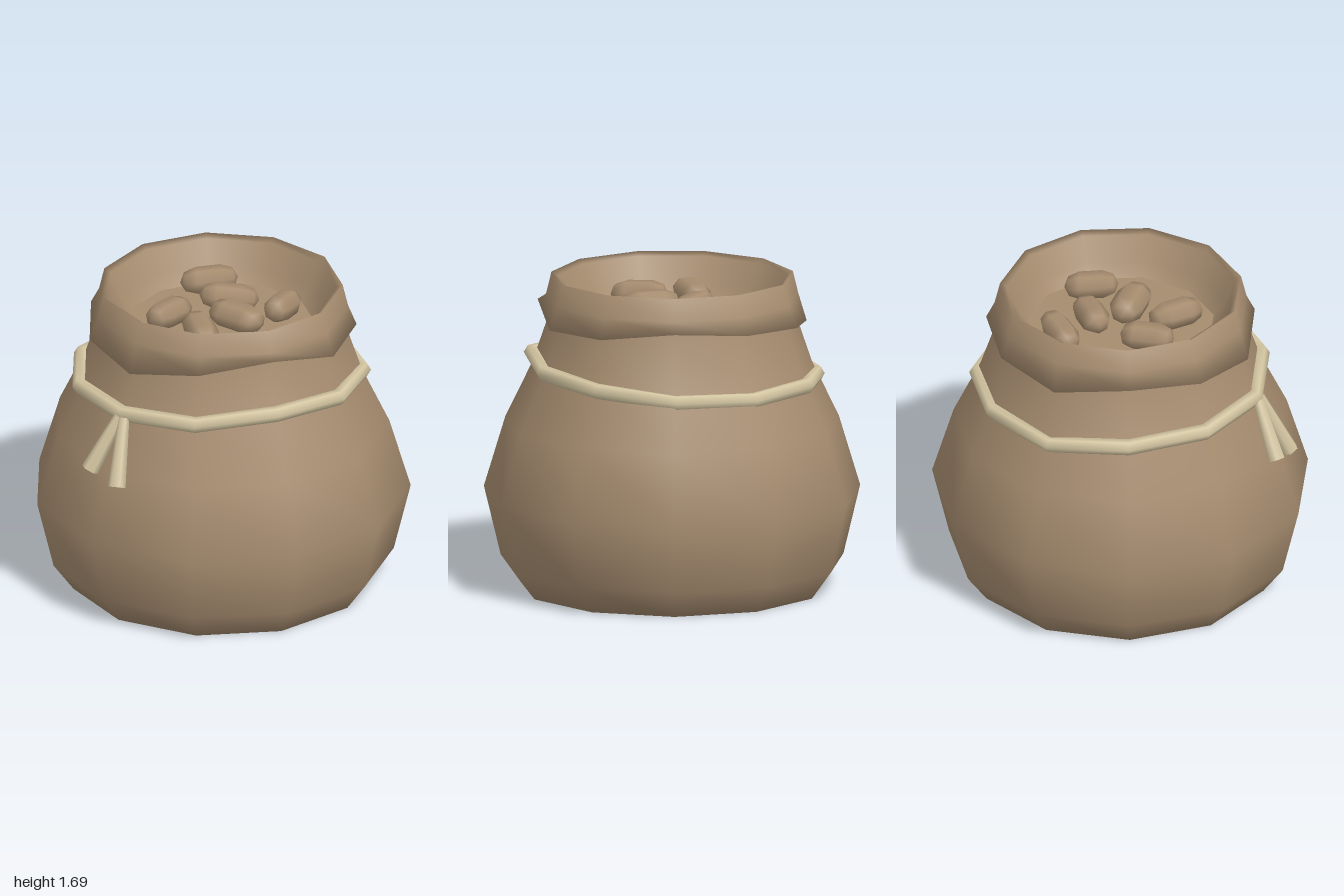
import * as THREE from 'three';

const SIDES = 11;
const CENTER_Z = -0.02;

// Height of the folded hem and of the rope at each of the eleven corners, from the front round to +x
const HEM = [1.41, 1.48, 1.54, 1.45, 1.46, 1.51, 1.48, 1.46, 1.42, 1.485, 1.45];
const ROPE = [1.19, 1.21, 1.25, 1.22, 1.19, 1.15, 1.14, 1.15, 1.13, 1.17, 1.18];

const sack = new THREE.MeshStandardMaterial({ color: 0xa68c6f });
sack.name = 'sackcloth';
const cord = new THREE.MeshStandardMaterial({ color: 0xd4c6a2 });
cord.name = 'cord';

function lathe(profile) {
  return new THREE.LatheGeometry(profile.map(([r, y]) => new THREE.Vector2(r, y)), SIDES);
}

export function createModel() {
  const group = new THREE.Group();
  group.name = 'sackOfBeans';

  function add(name, geometry, material, x = 0, y = 0, z = CENTER_Z) {
    const mesh = new THREE.Mesh(geometry, material);
    mesh.name = name;
    mesh.position.set(x, y, z);
    group.add(mesh);
    return mesh;
  }

  // Bulging body with its neck
  add('body', lathe([
    [0, 0], [0.81, 0], [0.92, 0.15], [1.01, 0.52], [0.895, 0.9],
    [0.75, 1.2], [0.665, 1.45], [0.64, 1.58],
  ]), sack);

  // Rolled-down collar: underside, hem, outer face, rim and inner wall
  const collarProfile = [
    [0.645, 0.05], [0.722, 0], [0.677, 1.57], [0.648, 1.69],
    [0.615, 1.67], [0.56, 1.54], [0.5, 1.47],
  ];
  const collar = lathe(collarProfile.map(([r, y], j) => [r, j < 2 ? y + 1.46 : y]));
  const pos = collar.attributes.position;
  for (let i = 0; i <= SIDES; i++) {
    for (let j = 0; j < 2; j++) {
      pos.setY(i * collarProfile.length + j, HEM[i % SIDES] + collarProfile[j][1]);
    }
  }
  add('collar', collar, sack);

  // Level of the contents
  const fill = new THREE.CircleGeometry(0.505, SIDES);
  fill.rotateZ(-Math.PI / 2);
  fill.rotateX(-Math.PI / 2);
  add('fillSurface', fill, sack, 0, 1.47);

  // Rope ring, raised and lowered corner by corner
  const rope = new THREE.TorusGeometry(0.765, 0.043, 6, SIDES);
  rope.rotateX(Math.PI / 2);
  rope.rotateY(Math.PI / 2 + Math.PI);
  const ropePos = rope.attributes.position;
  for (let i = 0; i < ropePos.count; i++) {
    const angle = Math.atan2(ropePos.getX(i), ropePos.getZ(i));
    const corner = (Math.round(angle / (Math.PI * 2) * SIDES) + SIDES) % SIDES;
    ropePos.setY(i, ropePos.getY(i) + ROPE[corner]);
  }
  add('rope', rope, cord, -0.012);

  // Two loose rope ends hanging at the front
  const up = new THREE.Vector3(0, 1, 0);
  for (const [name, x0, x1, y1] of [
    ['ropeEndRight', -0.015, -0.1, 0.89],
    ['ropeEndLeft', 0.015, 0.09, 0.845],
  ]) {
    const top = new THREE.Vector3(x0, 1.18, 0.765);
    const tip = new THREE.Vector3(x1, y1, 0.905);
    const dir = top.clone().sub(tip);
    const end = add(name, new THREE.CylinderGeometry(0.03, 0.048, dir.length(), 6), cord);
    end.position.copy(top).add(tip).multiplyScalar(0.5);
    end.quaternion.setFromUnitVectors(up, dir.normalize());
  }

  // Beans: x, z, heading, length, width, tilt
  const beans = [
    [-0.295, -0.255, 0.83, 0.31, 0.155, 0.08],
    [-0.07, -0.165, 0.68, 0.32, 0.165, -0.08],
    [0.213, -0.275, -1.25, 0.29, 0.16, 0.1],
    [0.12, -0.015, 0.06, 0.33, 0.19, 0],
    [-0.175, 0.195, -1.5, 0.3, 0.17, 0.05],
    [0.1, 0.25, -0.6, 0.32, 0.175, -0.05],
  ];
  beans.forEach(([x, z, heading, length, width, tilt], i) => {
    const geometry = new THREE.CapsuleGeometry(0.5, 0.75, 2, 7);
    geometry.rotateZ(Math.PI / 2);
    geometry.scale(length / 1.75, 0.15, width);
    const bean = add('bean' + (i + 1), geometry, sack, x, 1.54, z);
    bean.rotation.set(0, heading, tilt);
  });

  return group;
}
